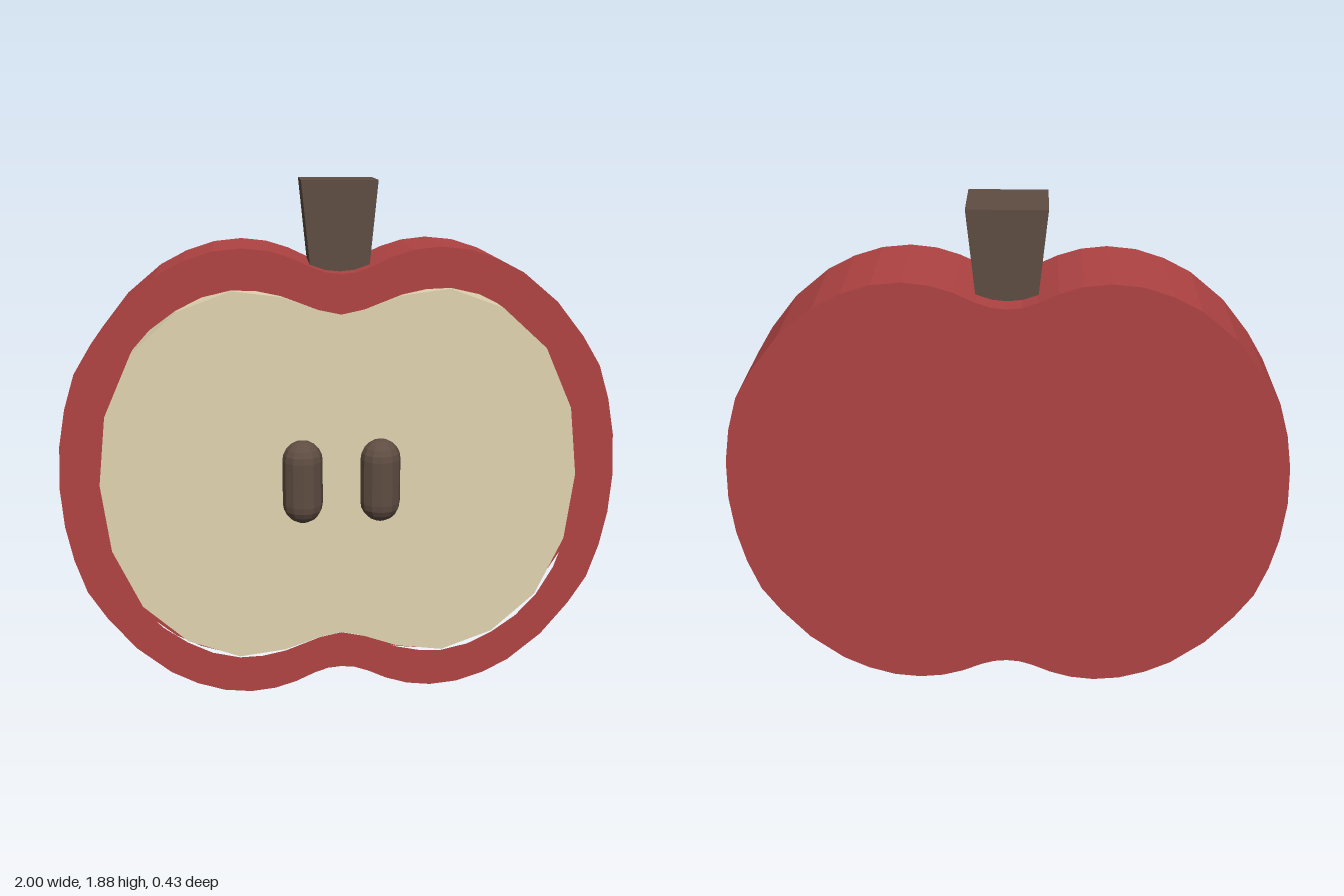
import * as THREE from 'three';

const MID = 0.83; // height of the horizontal mirror line
const BACK = -0.215, FRONT = 0.137;

// Upper right quarter outlines, from the top dip to the widest point
const OUTER = [[0, 1.57], [0.05, 1.575], [0.1, 1.592], [0.17, 1.625], [0.25, 1.65], [0.34, 1.66], [0.44, 1.65],
  [0.54, 1.618], [0.636, 1.568], [0.76, 1.465], [0.86, 1.34], [0.925, 1.235], [0.965, 1.11], [0.99, 0.98], [1, 0.83]];
const INNER = [[0, 1.43], [0.08, 1.447], [0.21, 1.493], [0.38, 1.515], [0.57, 1.445], [0.73, 1.3], [0.83, 1.08], [0.86, 0.83]];
const HOLE = [[0, 1.43], [0.08, 1.447], [0.21, 1.497], [0.295, 1.515], [0.38, 1.518], [0.48, 1.495], [0.57, 1.45], [0.66, 1.385],
  [0.735, 1.302], [0.795, 1.195], [0.834, 1.08], [0.857, 0.955], [0.863, 0.83]];

// Mirrors a quarter outline into a closed loop
function loop(quarter) {
  const right = [...quarter, ...quarter.slice(0, -1).reverse().map(([x, y]) => [x, 2 * MID - y])];
  const left = right.slice(1, -1).reverse().map(([x, y]) => [-x, y]);
  return [...right, ...left].map(([x, y]) => new THREE.Vector2(x, y));
}

function slab(shape, z0, z1) {
  return new THREE.ExtrudeGeometry(shape, { depth: z1 - z0, bevelEnabled: false }).translate(0, 0, z0);
}

export function createModel() {
  const group = new THREE.Group();
  group.name = 'halvedApple';
  const material = (color) => new THREE.MeshStandardMaterial({ color, flatShading: true });
  const red = material(0xb04343), cream = material(0xe0d3b0), brown = material(0x5f4d42);

  const add = (name, geometry, mat, x = 0, y = 0, z = 0) => {
    const mesh = new THREE.Mesh(geometry, mat);
    mesh.name = name;
    mesh.position.set(x, y, z);
    group.add(mesh);
    return mesh;
  };

  // Skin: a rim around the flesh and a closed back
  const rim = new THREE.Shape(loop(OUTER));
  rim.holes.push(new THREE.Path(loop(HOLE)));
  add('skinRim', slab(rim, BACK + 0.04, FRONT), red);
  add('skinBack', slab(new THREE.Shape(loop(OUTER)), BACK, BACK + 0.04), red);

  // Flesh, coarser than the rim opening
  add('flesh', slab(new THREE.Shape(loop(INNER)), BACK + 0.03, FRONT - 0.002), cream);

  // Seeds half sunk into the flesh
  for (const side of [-1, 1]) {
    add(side > 0 ? 'leftSeed' : 'rightSeed', new THREE.CapsuleGeometry(0.072, 0.162, 5, 12), brown, side * 0.14, MID, 0.145);
  }

  // Stem, widening sideways towards the top
  const stem = new THREE.Shape([[-0.097, 1.52], [0.097, 1.52], [0.133, 1.88], [-0.133, 1.88]]
    .map(([x, y]) => new THREE.Vector2(x, y)));
  add('stem', slab(stem, -0.147, 0.067), brown);

  return group;
}
